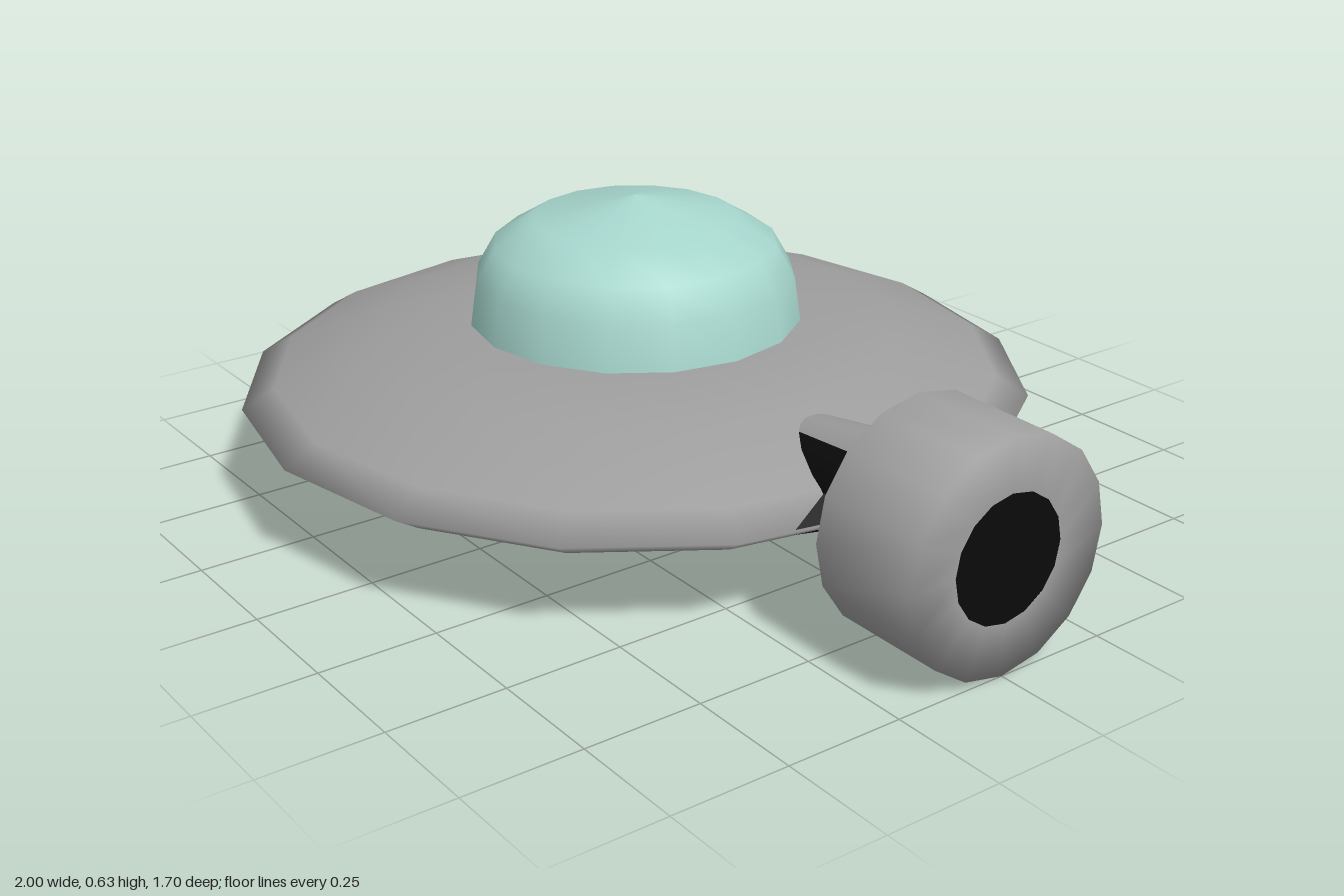
import * as THREE from 'three';

const SIDES = 16, CX = -0.15, AXIS_Y = 0.242;

export function createModel() {
  const model = new THREE.Group();
  model.name = 'flyingSaucer';

  const mat = (name, color, side = THREE.FrontSide) => {
    const m = new THREE.MeshStandardMaterial({ color, side });
    m.name = name;
    return m;
  };
  const hull = mat('hullGrey', 0x9e9e9e);
  const glass = mat('glassTeal', 0xa6d6cd);
  const black = mat('engineBlack', 0x0b0b0b, THREE.DoubleSide);

  const add = (name, geo, material, parent = model) => {
    const mesh = new THREE.Mesh(geo, material);
    mesh.name = name;
    parent.add(mesh);
    return mesh;
  };
  const lathe = (pts) =>
    new THREE.LatheGeometry(pts.map(([r, y]) => new THREE.Vector2(r, y)), SIDES);

  // Saucer body, from the belly round the rim to the dome seat
  const lower = [[0, 0.1], [0.6, 0.13], [0.78, 0.175], [0.85, 0.22]];
  const upper = [[0.85, 0.22], [0.78, 0.262], [0.57, 0.34], [0.36, 0.365], [0, 0.37]];
  add('saucerBody', lathe([...lower, ...upper.slice(1)]), hull).position.x = CX;

  // Glass dome
  add('dome', lathe([[0.36, 0.355], [0.345, 0.46], [0.305, 0.53], [0.22, 0.582], [0, 0.63]]),
    glass).position.x = CX;

  // Dark patches on the rim around the engine neck, laid just off the hull
  const heightAt = (profile, e) => {
    for (let i = 0; i < profile.length - 1; i++) {
      const [r0, y0] = profile[i], [r1, y1] = profile[i + 1];
      if (e >= Math.min(r0, r1) - 1e-6 && e <= Math.max(r0, r1) + 1e-6) {
        return y0 + (y1 - y0) * (e - r0) / (r1 - r0);
      }
    }
    return 0.22;
  };
  const rimPatch = (profile, lift) => {
    const geo = new THREE.PlaneGeometry(1, 1, 8, 12);
    const p = geo.attributes.position;
    for (let i = 0; i < p.count; i++) {
      const z = p.getY(i) * 0.42, a = Math.abs(z);
      const skew = a * Math.tan(Math.PI / SIDES);
      const inner = 0.58 + 0.37 * a, outer = 0.7 - skew;
      const x = inner + (outer - inner) * (p.getX(i) + 0.5);
      const e = Math.min(0.85, x - CX + skew);
      p.setXYZ(i, x, heightAt(profile, e) + lift, z);
    }
    geo.computeVertexNormals();
    return geo;
  };
  add('rimPatchTop', rimPatch(upper, 0.005), black);
  add('rimPatchBottom', rimPatch(lower, -0.005), black);

  // Engine, built upright and turned so its axis runs along +x
  const engine = new THREE.Group();
  engine.name = 'engine';
  engine.position.y = AXIS_Y;
  engine.rotation.z = -Math.PI / 2;
  model.add(engine);

  const tube = (name, x0, r0, x1, r1, material, start = 0, length = Math.PI * 2, segs = SIDES) => {
    const geo = new THREE.CylinderGeometry(r1, r0, x1 - x0, segs, 1, true, start, length);
    add(name, geo, material, engine).position.y = (x0 + x1) / 2;
  };
  const disc = (name, x, r, turn) => {
    const geo = new THREE.CircleGeometry(r, SIDES).rotateX(turn);
    add(name, geo, black, engine).position.y = x;
  };

  // Flared neck: grey tongues above and below, black flanks and collar
  const half = 0.62;
  for (const [side, mid] of [['Top', -Math.PI / 2], ['Bottom', Math.PI / 2]]) {
    tube('neckTongue' + side, 0.45, 0.088, 0.655, 0.12, hull, mid - half, half * 2, 6);
  }
  for (const [side, mid] of [['Front', 0], ['Back', Math.PI]]) {
    const h = Math.PI / 2 - half;
    tube('neckFlank' + side, 0.45, 0.088, 0.655, 0.12, black, mid - h, h * 2, 6);
  }
  tube('neckCollar', 0.655, 0.12, 0.75, 0.135, black);

  // Thruster drum with its nozzle ring, nozzle and dark back plate
  add('thrusterDrum', lathe([[0.239, 0.75], [0.239, 1], [0.13, 1]]), hull, engine);
  disc('nozzle', 0.999, 0.131, -Math.PI / 2);
  disc('thrusterBack', 0.75, 0.239, Math.PI / 2);

  return model;
}
